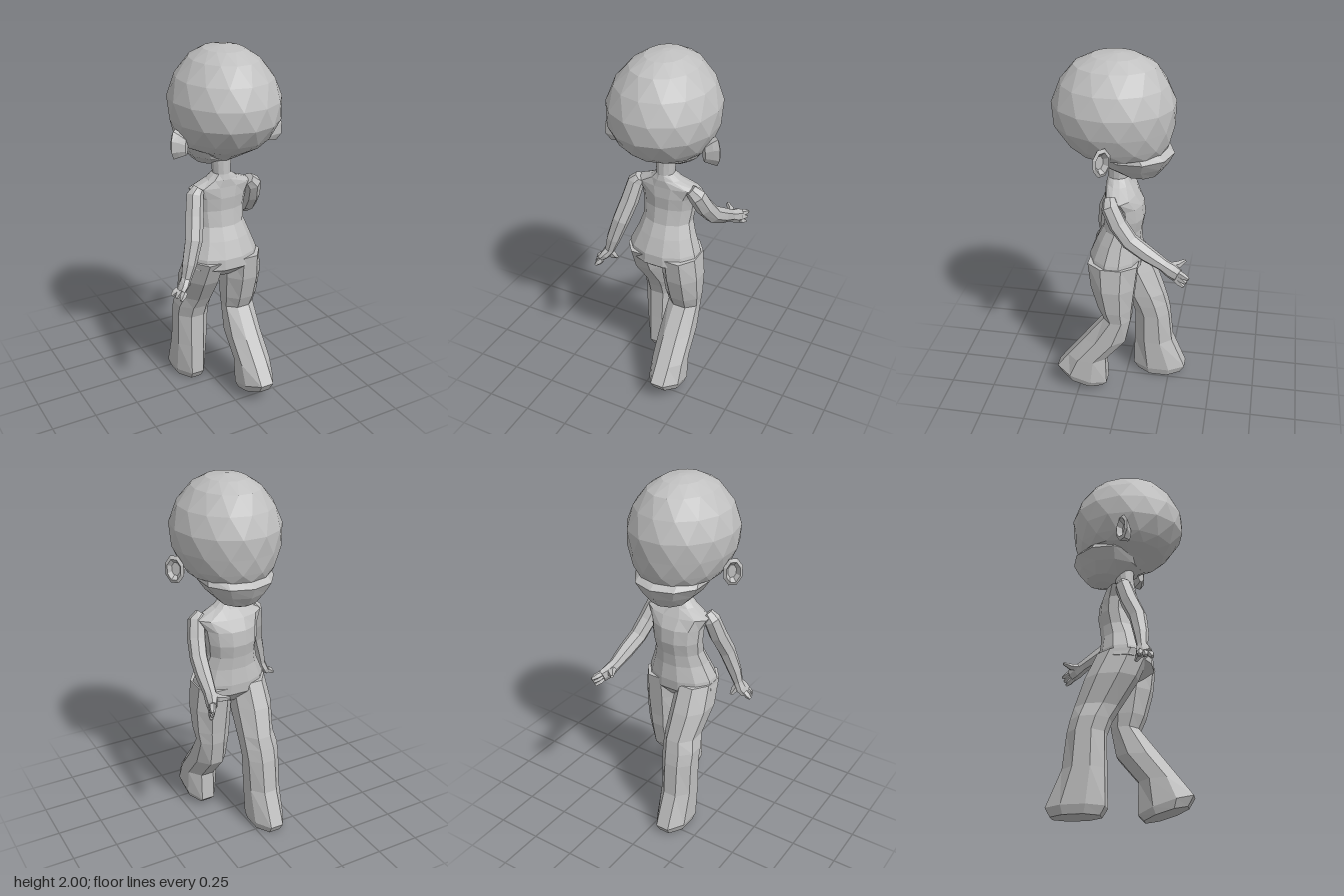
import * as THREE from 'three';

const body = new THREE.MeshStandardMaterial({ color: 0xc0c0c0 });
body.name = 'plain grey';
body.flatShading = true;

const V = (x, y, z) => new THREE.Vector3(x, y, z);

// Skin a list of rings {c, u, v}; u x v points along the travel direction.
function loft(name, rings, n, twist = false) {
  const pos = [], idx = [];
  const grow = twist ? 1.01 : 1 / Math.cos(Math.PI / n);
  rings.forEach(({ c, u, v }, i) => {
    for (let k = 0; k < n; k++) {
      const a = ((k + (twist ? i * 0.5 : 0.5)) * 2 * Math.PI) / n;
      const p = c.clone().addScaledVector(u, Math.cos(a) * grow).addScaledVector(v, Math.sin(a) * grow);
      pos.push(p.x, p.y, p.z);
    }
  });
  const last = rings.length - 1, first = rings.length * n;
  pos.push(...rings[0].c.toArray(), ...rings[last].c.toArray());
  for (let k = 0; k < n; k++) {
    const m = (k + 1) % n;
    for (let i = 0; i < last; i++) {
      const a = i * n + k, b = i * n + m, c = a + n, d = b + n;
      idx.push(a, b, c, b, d, c);
    }
    idx.push(first, m, k, first + 1, last * n + k, last * n + m);
  }
  const g = new THREE.BufferGeometry();
  g.setAttribute('position', new THREE.Float32BufferAttribute(pos, 3));
  g.setIndex(idx);
  g.computeVertexNormals();
  const mesh = new THREE.Mesh(g, body);
  mesh.name = name;
  return mesh;
}

// Rings from the top down, each [x0, x1, yLow-z side, zLow, yHigh-z side, zHigh]
const stack = (rows) => rows.map(([x0, x1, ya, za, yb, zb]) => ({
  c: V((x0 + x1) / 2, (ya + yb) / 2, (za + zb) / 2),
  u: V((x1 - x0) / 2, 0, 0),
  v: V(0, (yb - ya) / 2, (zb - za) / 2),
}));

// Level rings [halfWidth, y, zLow, zHigh, optional y at zHigh], centred on the head
const MID = 0.0225;
const level = (rows) => stack(rows.map(([w, y, za, zb, yb = y]) => [MID - w, MID + w, y, za, yb, zb]));

// Rings along a path of [x, y, z, ru, rv], facing the path or a fixed direction
function along(points, dir) {
  const P = points.map((p) => V(p[0], p[1], p[2]));
  return points.map((p, i) => {
    const d = dir ? dir.clone() : P[Math.min(i + 1, P.length - 1)].clone().sub(P[Math.max(i - 1, 0)]);
    d.normalize();
    const u = V(1, 0, 0).addScaledVector(d, -d.x).normalize();
    const v = d.clone().cross(u);
    return { c: P[i], u: u.multiplyScalar(p[3]), v: v.multiplyScalar(p[4] ?? p[3]) };
  });
}

// Three tapering fingers fanned along a spread vector
function fingers(group, side, from, to, spread) {
  for (let i = -1; i <= 1; i++) {
    const a = V(...from).addScaledVector(spread, i * 0.7);
    const b = V(...to).addScaledVector(spread, i);
    const m = a.clone().lerp(b, 0.55);
    group.add(loft(side + 'Finger', along([
      [...a.toArray(), 0.014], [...m.toArray(), 0.014], [...b.toArray(), 0.007],
    ]), 5));
  }
}

export function createModel() {
  const model = new THREE.Group();
  model.name = 'walkingFigure';

  // Large rounded head and the jaw below it
  model.add(loft('head', level([
    [0.02, 2.0, 0.02, 0.06],
    [0.1, 1.985, -0.07, 0.17],
    [0.17, 1.94, -0.155, 0.26],
    [0.245, 1.85, -0.215, 0.33],
    [0.283, 1.745, -0.255, 0.373],
    [0.278, 1.64, -0.25, 0.37],
    [0.245, 1.555, -0.235, 0.31, 1.545],
    [0.215, 1.51, -0.215, 0.26, 1.5],
    [0.14, 1.5, -0.12, 0.17, 1.45],
    [0.06, 1.4, -0.05, 0.1, 1.41],
  ]), 14, true));
  model.add(loft('jaw', level([
    [0.18, 1.53, -0.18, 0.1],
    [0.19, 1.485, -0.245, 0.14],
    [0.15, 1.425, -0.215, 0.12],
    [0.095, 1.368, -0.175, 0.02],
    [0.045, 1.347, -0.13, -0.04],
  ]), 10));

  // Cupped ears
  for (const s of [1, -1]) {
    const e = (x, y, z, ru, rv) => [MID + s * x, y, z, ru, rv];
    model.add(loft(s > 0 ? 'leftEar' : 'rightEar', along([
      e(0.235, 1.52, 0.1, 0.02, 0.04),
      e(0.265, 1.53, 0.085, 0.035, 0.06),
      e(0.287, 1.535, 0.07, 0.05, 0.073),
      e(0.293, 1.535, 0.064, 0.036, 0.055),
      e(0.273, 1.53, 0.084, 0.022, 0.034),
    ], V(s, 0, -1)), 8));
  }

  // Neck, chest, waist and hips
  model.add(loft('torso', stack([
    [-0.035, 0.07, 1.41, -0.015, 1.41, 0.09],
    [-0.03, 0.065, 1.33, -0.01, 1.33, 0.093],
    [-0.065, 0.105, 1.295, -0.03, 1.3, 0.1],
    [-0.155, 0.21, 1.25, -0.06, 1.26, 0.1],
    [-0.125, 0.175, 1.19, -0.095, 1.2, 0.105],
    [-0.12, 0.165, 1.11, -0.103, 1.13, 0.1],
    [-0.115, 0.155, 1.04, -0.09, 1.04, 0.115],
    [-0.135, 0.178, 0.97, -0.085, 0.97, 0.15],
    [-0.175, 0.21, 0.88, -0.095, 0.88, 0.187],
    [-0.185, 0.225, 0.82, -0.09, 0.82, 0.19],
    [-0.08, 0.12, 0.75, -0.03, 0.75, 0.11],
  ]), 12));

  // Legs in mid stride, flaring to the feet
  model.add(loft('leftLeg', stack([
    [0.025, 0.222, 0.86, -0.085, 0.86, 0.185],
    [0.025, 0.235, 0.72, -0.07, 0.72, 0.168],
    [0.035, 0.228, 0.58, -0.055, 0.58, 0.13],
    [0.045, 0.217, 0.51, -0.05, 0.51, 0.1],
    [0.035, 0.22, 0.36, -0.02, 0.355, 0.215],
    [0.04, 0.222, 0.22, 0.095, 0.23, 0.31],
    [0.04, 0.222, 0.05, 0.09, 0.14, 0.378],
    [0.055, 0.208, 0.02, 0.12, 0.085, 0.345],
  ]), 8));
  model.add(loft('rightLeg', stack([
    [-0.18, 0.015, 0.86, -0.085, 0.86, 0.18],
    [-0.19, 0.018, 0.72, -0.15, 0.72, 0.12],
    [-0.165, 0.018, 0.57, -0.207, 0.57, 0.02],
    [-0.18, 0.015, 0.5, -0.225, 0.5, -0.02],
    [-0.18, 0.01, 0.43, -0.24, 0.43, -0.045],
    [-0.18, 0.003, 0.24, -0.26, 0.24, -0.042],
    [-0.18, 0.002, 0.05, -0.34, 0.05, -0.038],
    [-0.165, -0.01, 0.005, -0.315, 0.005, -0.065],
  ]), 8));

  // Left arm reaching forward
  const leftArm = new THREE.Group();
  leftArm.name = 'leftArm';
  leftArm.add(loft('leftSleeve', along([
    [0.17, 1.265, 0.06, 0.03], [0.203, 1.235, 0.05, 0.043], [0.225, 1.15, 0.005, 0.045],
    [0.245, 1.07, -0.06, 0.043], [0.262, 1.015, -0.15, 0.04],
    [0.275, 0.965, -0.24, 0.031], [0.287, 0.94, -0.285, 0.03, 0.038], [0.302, 0.925, -0.32, 0.022, 0.036],
  ]), 7));
  fingers(leftArm, 'left', [0.3, 0.925, -0.31], [0.327, 0.9, -0.365], V(0.002, 0.025, -0.012));
  leftArm.add(loft('leftThumb', along([
    [0.272, 0.955, -0.26, 0.018], [0.248, 0.955, -0.31, 0.016], [0.213, 0.965, -0.347, 0.007],
  ]), 5));
  model.add(leftArm);

  // Right arm swinging back
  const rightArm = new THREE.Group();
  rightArm.name = 'rightArm';
  rightArm.add(loft('rightSleeve', along([
    [-0.125, 1.265, 0.055, 0.03], [-0.15, 1.235, 0.06, 0.042], [-0.172, 1.13, 0.095, 0.045],
    [-0.202, 1.02, 0.143, 0.043], [-0.24, 0.9, 0.165, 0.036],
    [-0.262, 0.825, 0.172, 0.026], [-0.283, 0.79, 0.18, 0.024, 0.038], [-0.303, 0.765, 0.19, 0.018, 0.036],
  ]), 7));
  fingers(rightArm, 'right', [-0.3, 0.77, 0.19], [-0.335, 0.738, 0.2], V(0.012, -0.004, 0.032));
  rightArm.add(loft('rightThumb', along([
    [-0.265, 0.81, 0.17, 0.018], [-0.25, 0.775, 0.155, 0.016], [-0.24, 0.75, 0.135, 0.007],
  ]), 5));
  model.add(rightArm);

  return model;
}
